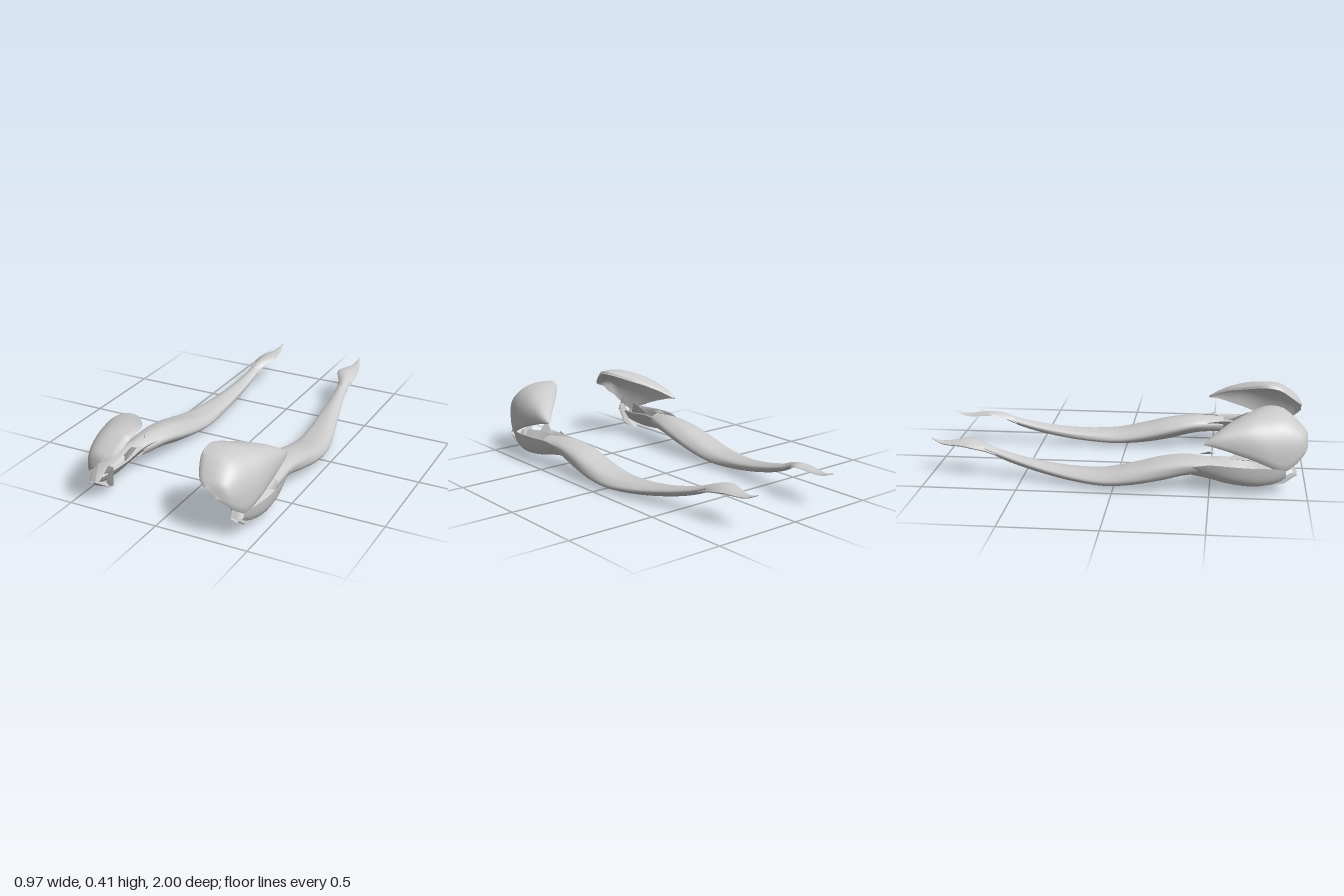
import * as THREE from 'three';
import { toCreasedNormals } from 'three/addons/utils/BufferGeometryUtils.js';
import { ConvexGeometry } from 'three/addons/geometries/ConvexGeometry.js';

const material = new THREE.MeshStandardMaterial({ color: 0xcccccc, side: THREE.DoubleSide });

// Smoothly interpolate rows of section parameters into n + 1 rows
function smoothRows(rows, n) {
  const columns = rows[0].map((_, c) =>
    new THREE.SplineCurve(rows.map((row, i) => new THREE.Vector2(i, row[c]))));
  return Array.from({ length: n + 1 }, (_, i) => columns.map(curve => curve.getPoint(i / n).y));
}

// Skin closed rings (front to back, counter-clockwise seen from the front)
function loft(rings) {
  const m = rings[0].length, index = [];
  for (let i = 0; i < rings.length - 1; i++) {
    for (let j = 0; j < m; j++) {
      const k = (j + 1) % m;
      const a = i * m + j, c = i * m + k, b = a + m, d = c + m;
      index.push(a, b, c, b, d, c);
    }
  }
  const geometry = new THREE.BufferGeometry();
  geometry.setAttribute('position', new THREE.Float32BufferAttribute(rings.flat(2), 3));
  geometry.setIndex(index);
  geometry.computeVertexNormals();
  return geometry;
}

// Organic tube; rows: z, xMin, xMax, yMin, yMax
function sleeve(rows, steps, grain) {
  return loft(smoothRows(rows, steps).map(([z, x0, x1, y0, y1]) =>
    Array.from({ length: 32 }, (_, j) => {
      const a = j / 32 * Math.PI * 2;
      const r = 1 - grain * (0.5 + 0.5 * Math.sin(5 * a + 6 * z));
      return [(x0 + x1) / 2 + (x1 - x0) / 2 * r * Math.cos(a),
        (y0 + y1) / 2 + (y1 - y0) / 2 * r * Math.sin(a), z];
    })));
}

// Curved sheet with thickness; rows: z, outer x/y, control x/y, inner x/y, thickness
function sheet(rows, steps) {
  const rings = smoothRows(rows, steps).map(([z, ax, ay, cx, cy, bx, by, t]) => {
    const arc = new THREE.QuadraticBezierCurve(
      new THREE.Vector2(ax, ay), new THREE.Vector2(cx, cy), new THREE.Vector2(bx, by)).getPoints(20);
    const under = arc.map(p => [p.x - t * 0.6, p.y - t, z]).reverse();
    return [...arc.map(p => [p.x, p.y, z]), ...under];
  });
  return toCreasedNormals(loft(rings), 0.8);
}

// Thin faceted splinter from a few outline points
function splinter(points, dx = 0.006, dy = 0) {
  const outline = points.map(p => new THREE.Vector3(...p));
  const back = outline.map(p => p.clone().add(new THREE.Vector3(dx, dy, -0.006)));
  return new ConvexGeometry([...outline, ...back]);
}

// Reflect across x = 0, keeping faces outward
function mirrored(source) {
  const g = source.index ? source.toNonIndexed() : source.clone();
  g.scale(-1, 1, 1);
  for (const attribute of Object.values(g.attributes)) {
    const { array, itemSize: s } = attribute;
    for (let i = 0; i < array.length; i += 3 * s) {
      const second = array.slice(i + s, i + 2 * s);
      array.copyWithin(i + s, i + 2 * s, i + 3 * s);
      array.set(second, i + 2 * s);
    }
  }
  return g;
}

export function createModel() {
  const parts = {
    // Long tapered forearm and elbow
    forearmSleeve: sleeve([
      [0.56, 0.335, 0.455, 0.085, 0.168], [0.4, 0.285, 0.455, 0.08, 0.182],
      [0.25, 0.268, 0.467, 0.042, 0.164], [0.1, 0.268, 0.472, 0.012, 0.124],
      [-0.05, 0.269, 0.46, 0, 0.09], [-0.2, 0.269, 0.428, 0.012, 0.085],
      [-0.35, 0.266, 0.388, 0.035, 0.097], [-0.5, 0.263, 0.352, 0.068, 0.122],
      [-0.62, 0.26, 0.328, 0.106, 0.15], [-0.7, 0.255, 0.322, 0.145, 0.175],
    ], 72, 0.06),

    // Upper arm cup, open toward the shoulder
    upperArmCup: sheet([
      [0.89, 0.435, 0.135, 0.415, 0.04, 0.375, 0.13, 0.006],
      [0.82, 0.465, 0.15, 0.45, -0.02, 0.355, 0.14, 0.006],
      [0.72, 0.482, 0.155, 0.475, -0.05, 0.335, 0.15, 0.006],
      [0.6, 0.483, 0.16, 0.47, -0.04, 0.327, 0.165, 0.006],
      [0.5, 0.468, 0.16, 0.45, 0.0, 0.318, 0.16, 0.006],
      [0.41, 0.452, 0.14, 0.4, 0.03, 0.3, 0.14, 0.004],
    ], 30),

    // Large domed shoulder, open toward the inside and below
    shoulderGuard: sheet([
      [1.0, 0.35, 0.243, 0.318, 0.285, 0.285, 0.292, 0.008],
      [0.98, 0.39, 0.216, 0.4, 0.345, 0.25, 0.316, 0.012],
      [0.93, 0.423, 0.17, 0.44, 0.405, 0.222, 0.362, 0.016],
      [0.87, 0.445, 0.142, 0.47, 0.435, 0.204, 0.402, 0.016],
      [0.79, 0.467, 0.178, 0.485, 0.43, 0.204, 0.412, 0.015],
      [0.7, 0.475, 0.213, 0.49, 0.42, 0.255, 0.388, 0.012],
      [0.6, 0.475, 0.244, 0.483, 0.375, 0.335, 0.352, 0.01],
      [0.53, 0.472, 0.262, 0.475, 0.325, 0.4, 0.314, 0.007],
      [0.47, 0.46, 0.268, 0.457, 0.276, 0.45, 0.274, 0.003],
    ], 48),

    // Arched leaf over the back of the hand
    handGuard: sheet([
      [-0.64, 0.325, 0.13, 0.295, 0.18, 0.262, 0.135, 0.006],
      [-0.7, 0.325, 0.15, 0.29, 0.2, 0.25, 0.165, 0.006],
      [-0.77, 0.33, 0.165, 0.27, 0.215, 0.215, 0.188, 0.006],
      [-0.83, 0.318, 0.172, 0.268, 0.209, 0.225, 0.185, 0.006],
      [-0.9, 0.3, 0.17, 0.266, 0.195, 0.24, 0.175, 0.005],
      [-0.95, 0.284, 0.174, 0.265, 0.19, 0.25, 0.177, 0.004],
      [-1.0, 0.265, 0.194, 0.262, 0.198, 0.259, 0.194, 0.002],
    ], 30),

    // Strap, tab and splinters at the front of the arm
    shoulderStrap: splinter([[0.42, 0.19, 0.9], [0.385, 0.21, 0.9], [0.385, 0.115, 0.945], [0.415, 0.1, 0.945]]),
    frontTab: splinter([[0.385, 0.12, 0.95], [0.42, 0.11, 0.945], [0.42, 0.06, 0.88],
      [0.405, 0.035, 0.78], [0.38, 0.035, 0.78], [0.365, 0.05, 0.85]]),
    innerPlate: splinter([[0.35, 0.18, 0.86], [0.325, 0.175, 0.86], [0.345, 0.06, 0.84],
      [0.38, 0.037, 0.84], [0.38, 0.13, 0.86]]),
    crestSplinter: splinter([[0.32, 0.22, 0.7], [0.335, 0.15, 0.74], [0.365, 0.165, 0.7], [0.35, 0.165, 0.6]], 0.005, -0.004),
    elbowSplinter: splinter([[0.345, 0.19, 0.53], [0.36, 0.204, 0.5], [0.36, 0.19, 0.45]], 0.006, -0.004),
  };

  const model = new THREE.Group();
  model.name = 'armArmorPair';
  const left = new THREE.Group(), right = new THREE.Group();
  left.name = 'leftArm';
  right.name = 'rightArm';
  for (const [name, geometry] of Object.entries(parts)) {
    for (const [group, shape] of [[left, geometry], [right, mirrored(geometry)]]) {
      const mesh = new THREE.Mesh(shape, material);
      mesh.name = name;
      group.add(mesh);
    }
  }
  model.add(left, right);
  return model;
}
